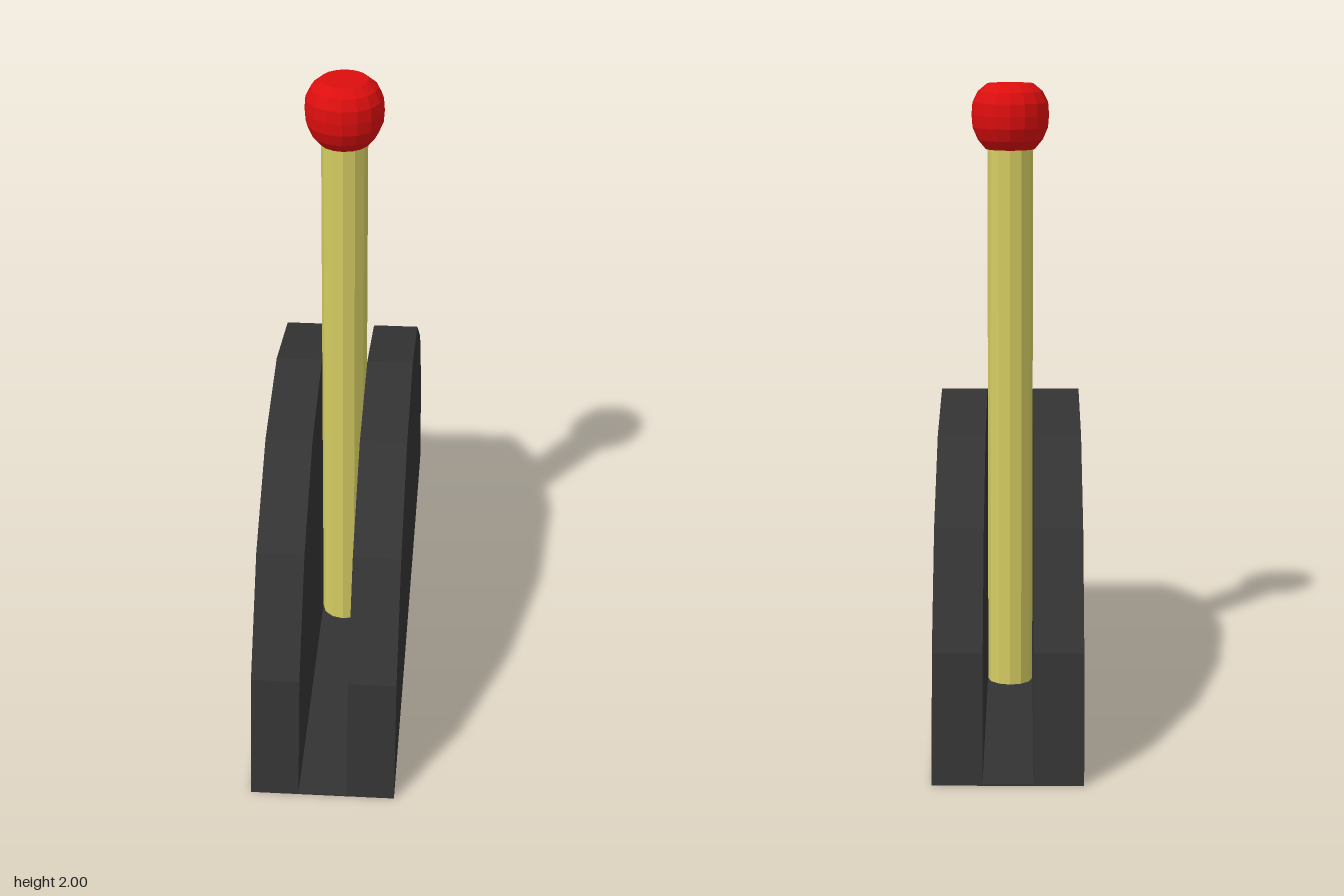
import * as THREE from 'three';

const material = (color) => new THREE.MeshStandardMaterial({ color, flatShading: true });

export function createModel() {
  const model = new THREE.Group();
  const dark = material(0x333333);
  const yellow = material(0xd4cc62);
  const red = material(0xdd0e0e);

  const add = (name, geometry, mat, x = 0, y = 0, z = 0) => {
    const mesh = new THREE.Mesh(geometry, mat);
    mesh.name = name;
    mesh.position.set(x, y, z);
    model.add(mesh);
    return mesh;
  };

  const slot = 0.075; // half width of the lever slot
  const outer = 0.225; // half width of the housing

  // Two faceted half discs, one on each side of the slot
  const halfDisc = new THREE.Shape();
  halfDisc.moveTo(1, 0);
  for (let i = 1; i <= 8; i++) {
    const a = (i / 8) * Math.PI;
    halfDisc.lineTo(Math.cos(a), Math.sin(a));
  }
  halfDisc.closePath();
  const plate = new THREE.ExtrudeGeometry(halfDisc, { depth: outer - slot, bevelEnabled: false });
  plate.rotateY(Math.PI / 2);
  add('leftHousingPlate', plate, dark, slot);
  add('rightHousingPlate', plate, dark, -outer);

  // Thin floor closing the bottom of the slot
  add('slotFloor', new THREE.BoxGeometry(2 * slot, 0.004, 2), dark, 0, 0.002, 0);

  // Lever rod standing in the slot
  add('leverRod', new THREE.CylinderGeometry(0.074, 0.074, 1.83, 12), yellow, 0, 0.919, 0);

  // Rounded knob with flat ends
  const knob = [
    [0, 1.79], [0.08, 1.79], [0.105, 1.82], [0.122, 1.86], [0.125, 1.9],
    [0.122, 1.94], [0.105, 1.975], [0.075, 2], [0, 2],
  ].map(([r, y]) => new THREE.Vector2(r, y));
  add('leverKnob', new THREE.LatheGeometry(knob, 16), red);

  return model;
}
